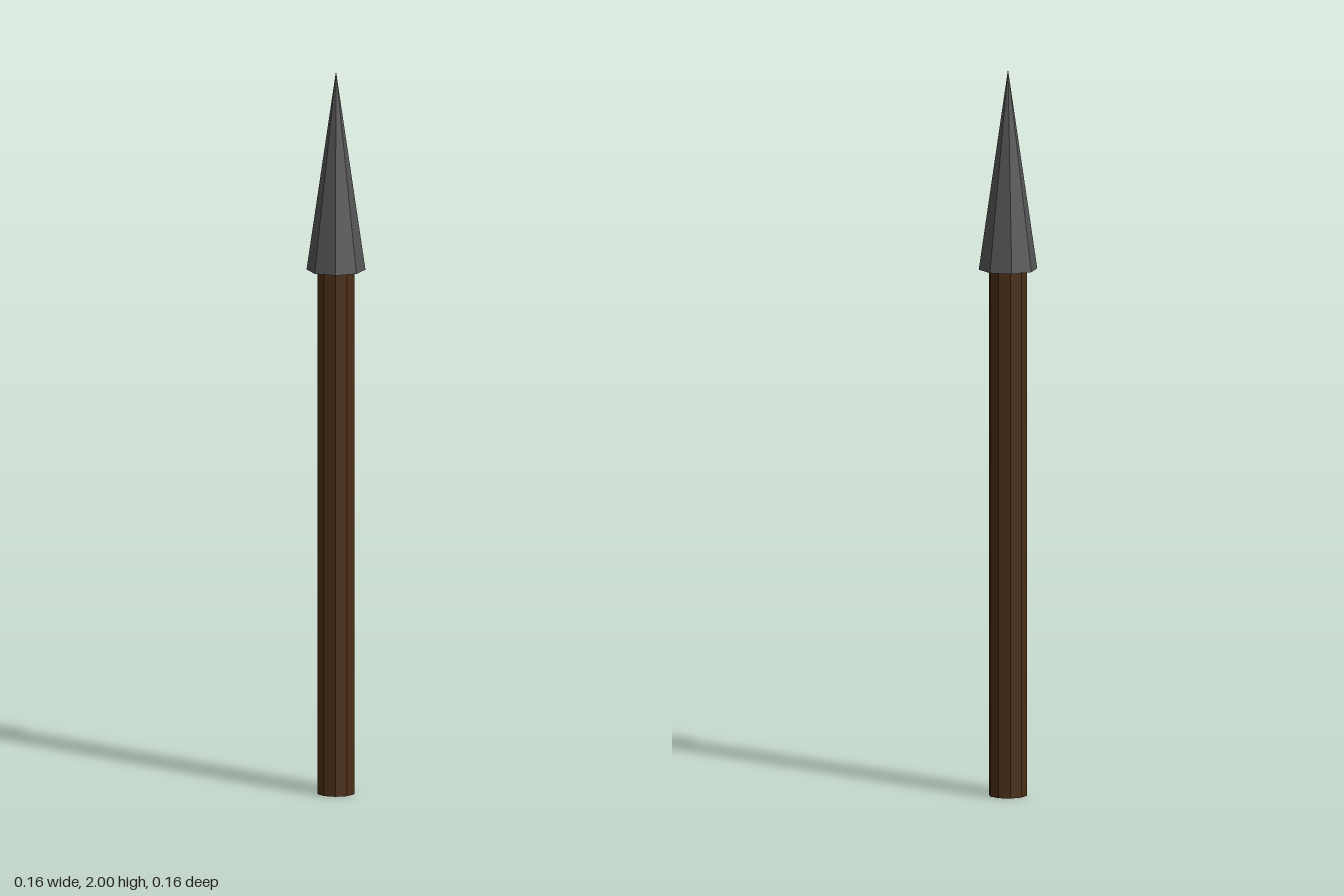
import * as THREE from 'three';

const SHAFT_TOP = 1.45;
const TIP = 2;

export function createModel() {
  const group = new THREE.Group();
  group.name = 'spear';

  const add = (name, geometry, color, y) => {
    const material = new THREE.MeshStandardMaterial({ color, flatShading: true });
    const mesh = new THREE.Mesh(geometry, material);
    mesh.name = name;
    mesh.position.y = y;
    group.add(mesh);
  };

  // Ten-sided wooden shaft
  add('shaft', new THREE.CylinderGeometry(0.053, 0.053, SHAFT_TOP, 10), 0x4a2e16, SHAFT_TOP / 2);

  // Eight-sided metal head with a closed base
  add('spearhead', new THREE.ConeGeometry(0.08, TIP - SHAFT_TOP, 8), 0x555555, (SHAFT_TOP + TIP) / 2);

  return group;
}
